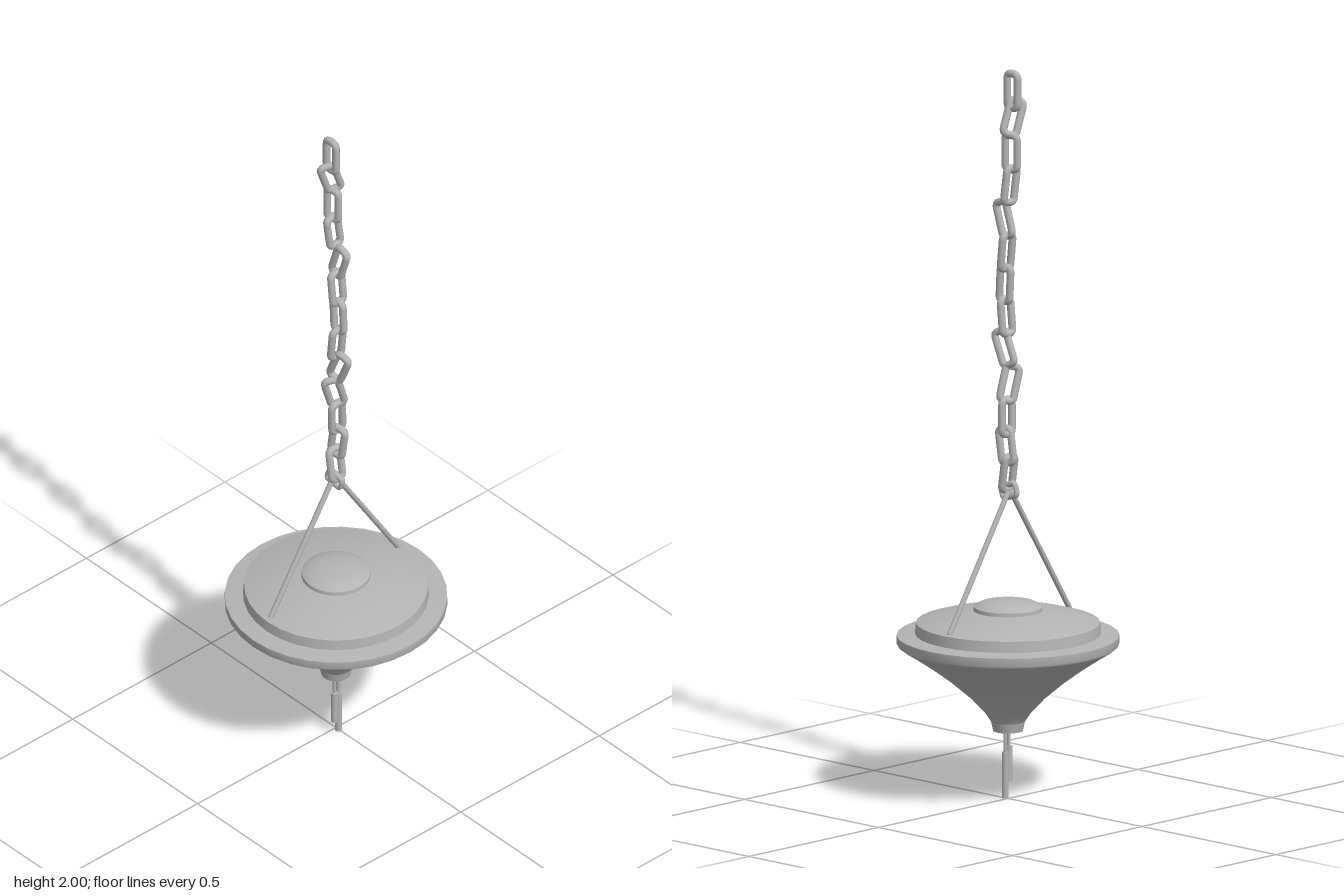
import * as THREE from 'three';

const grey = new THREE.MeshStandardMaterial({ color: 0xb4b4b4 });
grey.name = 'grey metal';

function add(parent, name, geometry) {
  const mesh = new THREE.Mesh(geometry, grey);
  mesh.name = name;
  parent.add(mesh);
  return mesh;
}

// Turned section; separate sections keep the edges between them sharp
function turned(parent, name, points) {
  return add(parent, name, new THREE.LatheGeometry(points.map(([r, y]) => new THREE.Vector2(r, y)), 32));
}

// Straight round bar between two points
function rod(parent, name, from, to, radius) {
  const a = new THREE.Vector3(...from), b = new THREE.Vector3(...to);
  const dir = b.clone().sub(a);
  const mesh = add(parent, name, new THREE.CylinderGeometry(radius, radius, dir.length(), 12));
  mesh.position.copy(a).add(b).multiplyScalar(0.5);
  mesh.quaternion.setFromUnitVectors(new THREE.Vector3(0, 1, 0), dir.normalize());
  return mesh;
}

// Rounded oblong chain link, upright in the xy plane
function linkGeometry() {
  const w = 0.019, h = 0.047, c = 0.014;
  const path = new THREE.CurvePath();
  const v = (x, y) => new THREE.Vector3(x, y, 0);
  const line = (a, b) => path.add(new THREE.LineCurve3(a, b));
  const bend = (a, b, d) => path.add(new THREE.QuadraticBezierCurve3(a, b, d));
  line(v(w, c - h), v(w, h - c));
  bend(v(w, h - c), v(w, h), v(w - c, h));
  line(v(w - c, h), v(c - w, h));
  bend(v(c - w, h), v(-w, h), v(-w, h - c));
  line(v(-w, h - c), v(-w, c - h));
  bend(v(-w, c - h), v(-w, -h), v(c - w, -h));
  line(v(c - w, -h), v(w - c, -h));
  bend(v(w - c, -h), v(w, -h), v(w, c - h));
  return new THREE.TubeGeometry(path, 48, 0.0105, 10, true);
}

export function createModel() {
  const model = new THREE.Group();
  model.name = 'hangingLamp';

  // Lamp body
  const body = new THREE.Group();
  body.name = 'lampBody';
  model.add(body);
  turned(body, 'bottomCap', [[0, 0.187], [0.04, 0.187]]);
  turned(body, 'collar', [[0.04, 0.187], [0.046, 0.213]]);
  turned(body, 'flaredBowl', [[0.046, 0.213], [0.062, 0.237], [0.1, 0.278], [0.155, 0.325], [0.21, 0.366], [0.26, 0.4], [0.292, 0.42]]);
  turned(body, 'rim', [[0.292, 0.42], [0.299, 0.427], [0.299, 0.45]]);
  turned(body, 'rimLedge', [[0.299, 0.45], [0.25, 0.455]]);
  turned(body, 'lidWall', [[0.25, 0.455], [0.247, 0.485]]);
  turned(body, 'lid', [[0.247, 0.485], [0.2, 0.499], [0.14, 0.512], [0.093, 0.518]]);
  turned(body, 'capWall', [[0.093, 0.518], [0.092, 0.528]]);
  turned(body, 'cap', [[0.092, 0.528], [0.075, 0.538], [0.045, 0.545], [0, 0.547]]);

  // Pair of suspension rods
  for (const s of [1, -1]) {
    rod(model, 'suspensionRod', [-0.006, 0.845, 0.005 * s], [-0.006, 0.487, 0.232 * s], 0.0075);
  }

  // Chain: x, y, z, yaw, tilt about x, tilt about z
  const q = Math.PI / 2;
  const links = [
    [-0.003, 1.943, 0.014, 0, 0, 0],
    [-0.004, 1.87, 0.016, q - 0.5, 0.35, 0],
    [-0.004, 1.775, 0.008, 0.2, 0, 0],
    [-0.003, 1.685, 0.006, q, 0.1, 0.05],
    [0.018, 1.59, 0.004, 0, 0, -0.3],
    [0.01, 1.5, 0.005, q, 0, 0.1],
    [0.019, 1.41, 0.008, 0, 0, 0.05],
    [0.017, 1.32, 0.012, q, 0, -0.1],
    [0.019, 1.235, 0.006, 0.2, 0, -0.4],
    [-0.001, 1.14, 0.005, q - 0.6, 0.3, 0],
    [-0.002, 1.05, -0.006, q, 0.05, -0.05],
    [0.003, 0.97, -0.004, 0.2, 0, -0.15],
    [-0.001, 0.895, 0, q, 0, 0.15],
    [0, 0.846, 0.004, 0.3, 0.3, 1.25],
  ];
  const chain = new THREE.Group();
  chain.name = 'chain';
  model.add(chain);
  const geometry = linkGeometry();
  links.forEach(([x, y, z, yaw, tx, tz], i) => {
    const link = add(chain, 'chainLink', geometry);
    link.position.set(x, y, z);
    link.rotation.set(tx, yaw, tz, 'XZY');
    if (i === links.length - 1) link.scale.set(0.85, 0.55, 0.85);
  });

  // Pull cords with weighted ends
  for (const [x, z, top, bottom] of [[0.017, 0.021, 0.14, 0.043], [0.011, 0.001, 0.127, 0]]) {
    rod(model, 'pullCord', [x, 0.195, z], [x, top, z], 0.005);
    rod(model, 'pullWeight', [x, top, z], [x, bottom, z], 0.0095);
  }
  return model;
}
